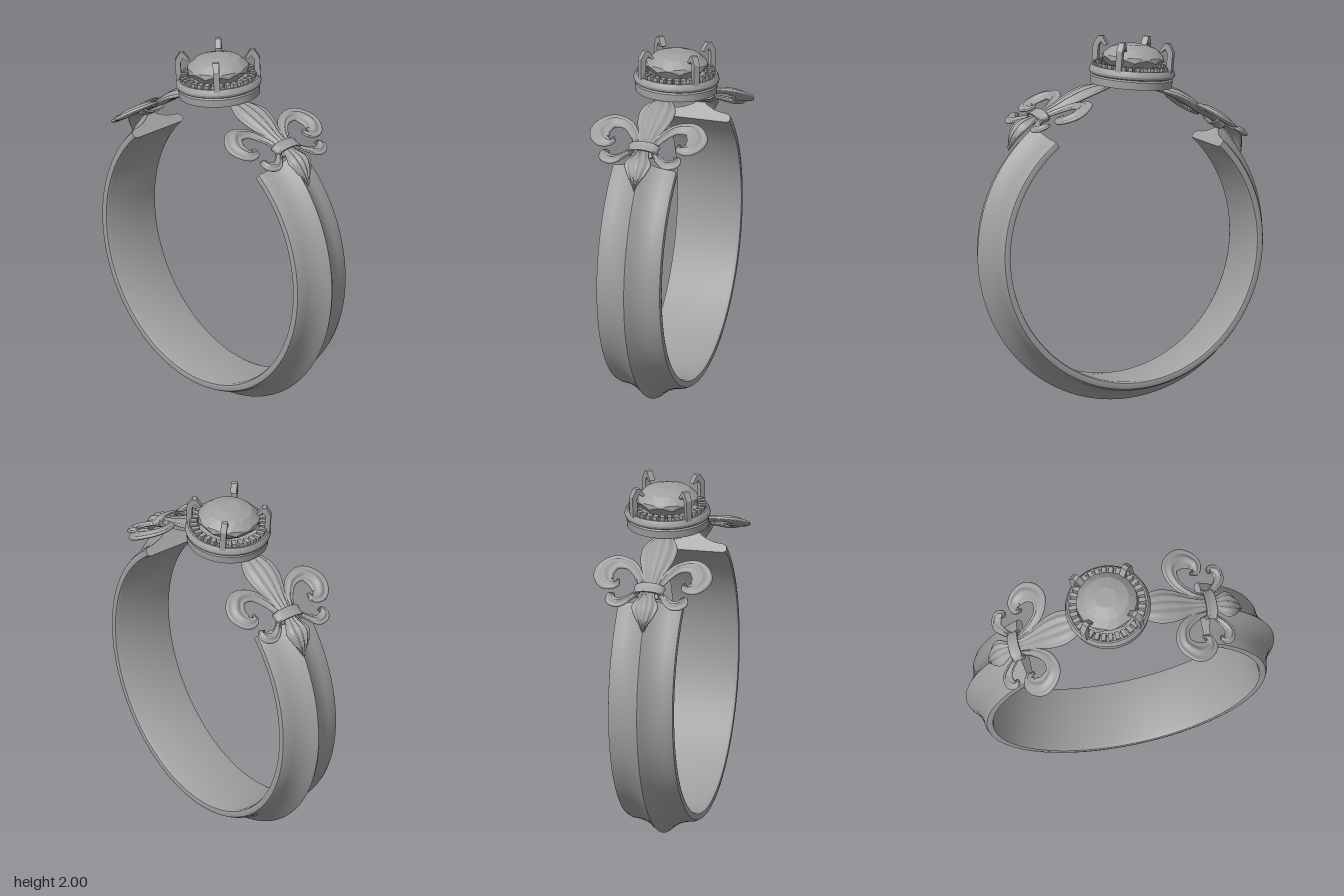
import * as THREE from 'three';
import { toCreasedNormals } from 'three/addons/utils/BufferGeometryUtils.js';

const V2 = (x, y) => new THREE.Vector2(x, y);
const V3 = (x, y, z) => new THREE.Vector3(x, y, z);

// Skin a list of closed cross-sections, with a fan cap on both ends
function loft(rings) {
  const n = rings[0].length, m = rings.length, pos = [], idx = [];
  rings.forEach(r => r.forEach(p => pos.push(p.x, p.y, p.z)));
  for (let i = 0; i < m - 1; i++) for (let j = 0; j < n; j++) {
    const a = i * n + j, b = i * n + (j + 1) % n;
    idx.push(a, b, a + n, b, b + n, a + n);
  }
  [0, m - 1].forEach(e => {
    const c = V3(0, 0, 0);
    rings[e].forEach(p => c.addScaledVector(p, 1 / n));
    const k = pos.length / 3;
    pos.push(c.x, c.y, c.z);
    for (let j = 0; j < n; j++) {
      const a = e * n + j, b = e * n + (j + 1) % n;
      if (e) idx.push(k, a, b); else idx.push(k, b, a);
    }
  });
  const g = new THREE.BufferGeometry();
  g.setAttribute('position', new THREE.Float32BufferAttribute(pos, 3));
  g.setIndex(idx);
  return g;
}

// Side profile of a shoulder, from under the head down to the band
const profile = new THREE.CatmullRomCurve3([
  [0.06, -0.008], [0.14, -0.018], [0.257, -0.048], [0.354, -0.092], [0.45, -0.148],
  [0.536, -0.192], [0.632, -0.243], [0.668, -0.29], [0.698, -0.375],
].map(([x, y]) => V3(x, y, 0)));
const LENGTH = profile.getLength();

// Point at arc length s, sideways q, raised h above the profile
function drape(s, q, h) {
  const t = THREE.MathUtils.clamp(s / LENGTH, 0, 1);
  const p = profile.getPointAt(t), d = profile.getTangentAt(t);
  return V3(p.x - d.y * h, p.y + d.x * h, q);
}

// Ribbed leaf or curl: path entries are [s, q, halfWidth]
function leaf(path, height, ribs, side = 1) {
  const curve = new THREE.CatmullRomCurve3(path.map(([s, q, w]) => V3(s, q * side, w)));
  const steps = 40, cols = 20, rings = [];
  const widest = Math.max(...path.map(p => p[2]));
  for (let i = 0; i <= steps; i++) {
    const p = curve.getPoint(i / steps), d = curve.getTangent(i / steps);
    const w = Math.max(p.z, 0.001), len = Math.hypot(d.x, d.y) || 1;
    const bx = -d.y / len, by = d.x / len, hh = height * Math.sqrt(w / widest), ring = [];
    for (let j = 0; j < cols * 2; j++) {
      const top = j <= cols;
      const k = top ? -Math.cos(j / cols * Math.PI) : Math.cos((j - cols) / cols * Math.PI);
      const arch = Math.sqrt(Math.max(0, 1 - k * k));
      const rib = 0.74 + 0.26 * Math.cos(ribs * Math.PI * k);
      ring.push(drape(p.x + bx * w * k, p.y + by * w * k, top ? hh * arch * rib : -hh * 0.45 * arch));
    }
    rings.push(ring);
  }
  const g = loft(rings);
  g.computeVertexNormals();
  return g;
}

export function createModel() {
  const metal = new THREE.MeshStandardMaterial({ color: 0xa0a0a0 });
  metal.name = 'grey metal';
  const model = new THREE.Group();
  model.name = 'ring';
  const add = (parent, name, geo) => {
    const mesh = new THREE.Mesh(geo, metal);
    mesh.name = name;
    parent.add(mesh);
    return mesh;
  };

  // Open band with a concave outside rising to a central ridge
  const half = [[0.182, 0.742], [0.185, 0.755], [0.18, 0.775], [0.16, 0.785], [0.12, 0.79],
    [0.08, 0.802], [0.04, 0.823], [0.018, 0.843]];
  const section = [...half.map(([z, r]) => [-z, r]), [0, 0.857],
    ...half.slice().reverse(), [0.165, 0.735], [-0.165, 0.735]];
  const bandRings = [], start = 134, sweep = 279, segs = 110;
  for (let i = 0; i <= segs; i++) {
    const a = THREE.MathUtils.degToRad(start + sweep * i / segs);
    bandRings.push(section.map(([z, r]) => V3(r * Math.cos(a), 0.857 + r * Math.sin(a), -z)));
  }
  add(model, 'band', toCreasedNormals(loft(bandRings), 0.55));

  // Head and shoulders lean together
  const crown = new THREE.Group();
  crown.name = 'crown';
  crown.position.set(-0.057, 1.737, 0);
  crown.rotation.z = 0.084;
  model.add(crown);

  // Shoulders: the second is turned half round
  const bigCurl = [[0.5, 0.04, 0.018], [0.41, 0.075, 0.026], [0.335, 0.14, 0.034], [0.325, 0.225, 0.048],
    [0.4, 0.276, 0.057], [0.473, 0.245, 0.044], [0.475, 0.195, 0.024], [0.44, 0.185, 0.008]];
  const smallCurl = [[0.52, 0.06, 0.016], [0.575, 0.105, 0.022], [0.608, 0.155, 0.029],
    [0.592, 0.2, 0.031], [0.558, 0.205, 0.02], [0.553, 0.183, 0.006]];
  [0, Math.PI].forEach((turn, i) => {
    const shoulder = new THREE.Group();
    shoulder.name = i ? 'rightShoulder' : 'leftShoulder';
    shoulder.rotation.y = turn;
    crown.add(shoulder);
    add(shoulder, 'longPetal', leaf([[0.04, 0, 0.002], [0.11, 0, 0.055], [0.2, 0, 0.096],
      [0.29, 0, 0.094], [0.4, 0, 0.06], [0.53, 0, 0.034]], 0.036, 4));
    add(shoulder, 'tailPetal', leaf([[0.5, 0, 0.034], [0.56, 0, 0.045], [0.625, 0, 0.074],
      [0.68, 0, 0.055], [0.73, 0, 0.024], [LENGTH, 0, 0.001]], 0.035, 4));
    [1, -1].forEach(side => {
      add(shoulder, 'bigCurl', leaf(bigCurl, 0.028, 2, side));
      add(shoulder, 'smallCurl', leaf(smallCurl, 0.022, 2, side));
    });
    // Collar strap with raised rims
    const strap = [[0.07, -0.032], [0.086, -0.032], [0.09, -0.025], [0.086, -0.018], [0.083, 0],
      [0.086, 0.018], [0.09, 0.025], [0.086, 0.032], [0.07, 0.032], [0.07, -0.032]];
    const collar = add(shoulder, 'collar',
      toCreasedNormals(new THREE.LatheGeometry(strap.map(p => V2(...p)), 32), 0.7));
    const dir = profile.getTangentAt(0.515 / LENGTH);
    collar.position.copy(drape(0.515, 0, 0.004));
    collar.rotation.z = Math.atan2(dir.y, dir.x) - Math.PI / 2;
    collar.scale.x = 0.42;
  });

  // Head: moulded dish holding the stone
  const head = new THREE.Group();
  head.name = 'head';
  head.position.z = -0.02;
  crown.add(head);
  const dish = [[0, 0], [0.222, 0], [0.225, 0.042], [0.218, 0.05], [0.23, 0.056], [0.235, 0.07],
    [0.231, 0.088], [0.222, 0.1], [0.211, 0.1], [0.208, 0.08], [0.168, 0.08], [0.16, 0.055], [0, 0.055]];
  add(head, 'dish', toCreasedNormals(new THREE.LatheGeometry(dish.map(p => V2(...p)), 64), 0.5));

  // Small teeth around the dish
  const tooth = new THREE.BoxGeometry(0.042, 0.045, 0.024);
  for (let i = 0; i < 32; i++) {
    const a = (i + 0.5) / 32 * Math.PI * 2;
    const t = add(head, 'tooth', tooth);
    t.position.set(0.192 * Math.cos(a), 0.097, 0.192 * Math.sin(a));
    t.rotation.y = -a;
  }

  // Four prongs hooked over the stone
  const hook = new THREE.Shape([[0.2, 0.07], [0.23, 0.07], [0.232, 0.205], [0.205, 0.25],
    [0.182, 0.25], [0.152, 0.205], [0.165, 0.198], [0.188, 0.218], [0.202, 0.195]].map(p => V2(...p)));
  const prong = new THREE.ExtrudeGeometry(hook, { depth: 0.034, bevelEnabled: false });
  prong.translate(0, 0, -0.017);
  for (let i = 0; i < 4; i++) add(head, 'prong', prong).rotation.y = Math.PI * (0.25 + i / 2);

  // Faceted stone: [radius, height, wave], each ring turned half a step
  const stone = [[0.07, 0.056, 0], [0.13, 0.1, 0], [0.17, 0.145, 0.009], [0.168, 0.165, 0],
    [0.125, 0.204, 0], [0.06, 0.224, 0]];
  const facets = 16;
  const gem = loft(stone.map(([r, y, wave], i) => Array.from({ length: facets }, (_, j) => {
    const a = (j + i / 2) / facets * Math.PI * 2;
    return V3(r * Math.cos(a), y + (j % 2 ? wave : -wave), -r * Math.sin(a));
  }))).toNonIndexed();
  gem.computeVertexNormals();
  add(head, 'stone', gem);

  return model;
}
